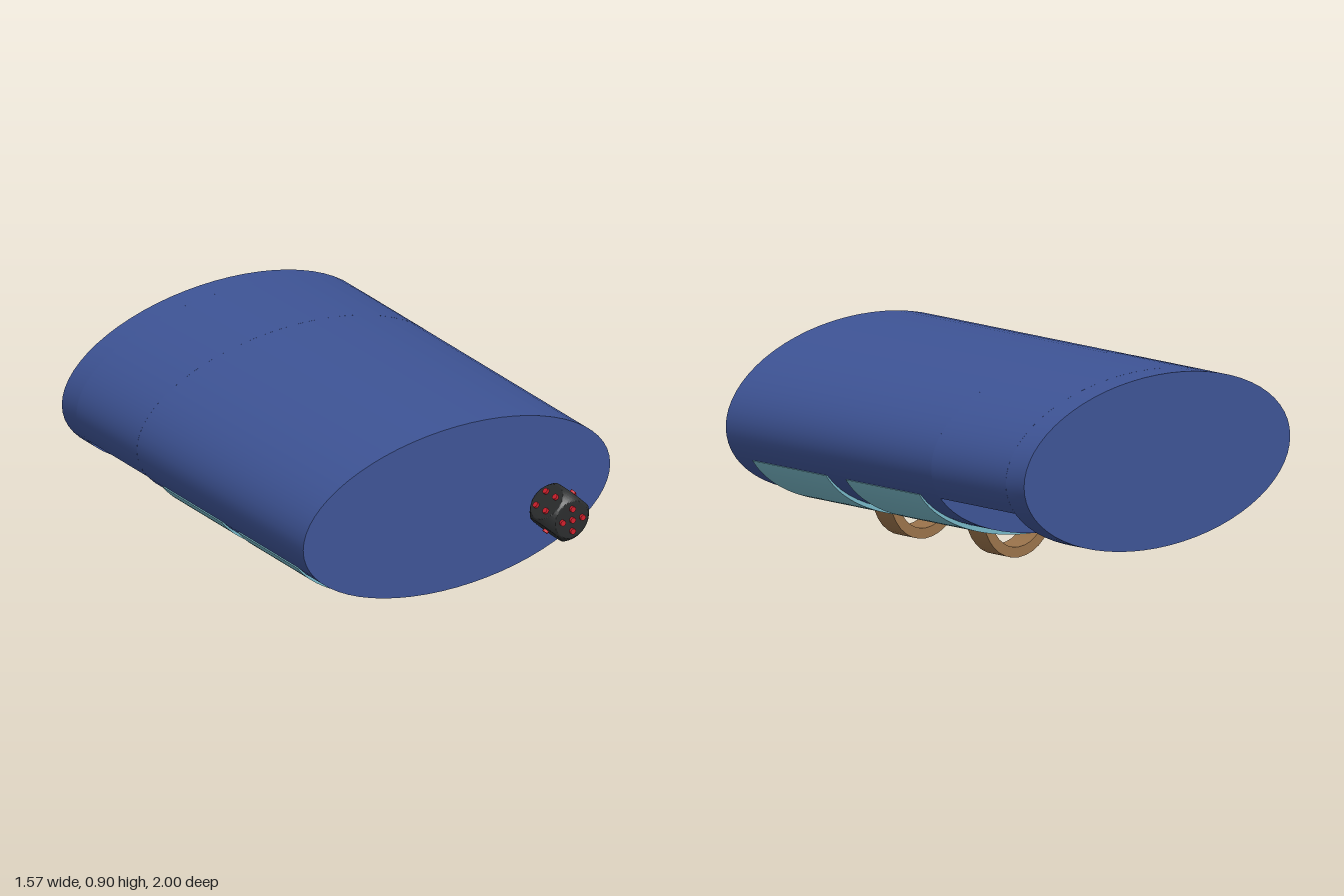
import * as THREE from 'three';
import { toCreasedNormals } from 'three/addons/utils/BufferGeometryUtils.js';

const CY = 0.527, RX = 0.785, RY = 0.373; // oval section of the cabinet
const RIM = 0.39;                         // height of the drawer line

const paint = (color) => new THREE.MeshStandardMaterial({ color });
const blue = paint(0x3e5496), teal = paint(0x78b8c8), wood = paint(0x9a734b);
const black = paint(0x2b2d2e), red = paint(0xd0202c), orange = paint(0xd8581c);

function addMesh(parent, name, geometry, material) {
  const mesh = new THREE.Mesh(geometry, material);
  mesh.name = name;
  parent.add(mesh);
  return mesh;
}

// Extrude a front-facing outline from z0 to z1 with smooth curved sides
function slab(shape, z0, z1, curveSegments = 32) {
  const geo = new THREE.ExtrudeGeometry(shape, { depth: z1 - z0, bevelEnabled: false, curveSegments });
  return toCreasedNormals(geo.translate(0, 0, z0), 0.5);
}

function oval() {
  return new THREE.Shape().absellipse(0, CY, RX, RY, 0, Math.PI * 2, false);
}

// Thin upper wall of the oval, open below the drawer line
function upperShell(thickness) {
  const a = Math.asin((RIM - CY) / RY);
  const shape = new THREE.Shape();
  shape.absellipse(0, CY, RX, RY, a, Math.PI - a, false);
  shape.absellipse(0, CY, RX - thickness, RY - thickness, Math.PI - a, a, true);
  shape.closePath();
  return shape;
}

// Lower segment of a slightly deeper oval
function drawerShape() {
  const ry = RY + 0.025, a = Math.asin((RIM - CY) / ry);
  const shape = new THREE.Shape();
  shape.absellipse(0, CY, RX, ry, Math.PI - a, Math.PI * 2 + a, false);
  shape.closePath();
  return shape;
}

// Half ring hanging under a drawer
function handleShape() {
  const shape = new THREE.Shape();
  shape.absarc(0.02, 0.21, 0.21, Math.PI, Math.PI * 2, false);
  shape.absarc(0.02, 0.21, 0.165, Math.PI * 2, Math.PI, true);
  shape.closePath();
  return shape;
}

// Cube with its corners and edges rounded off by a sphere
function dieGeometry(half, radius) {
  const geo = new THREE.BoxGeometry(2 * half, 2 * half, 2 * half, 28, 28, 28);
  const pos = geo.attributes.position, p = new THREE.Vector3();
  for (let i = 0; i < pos.count; i++) {
    p.fromBufferAttribute(pos, i).clampLength(0, radius);
    pos.setXYZ(i, p.x, p.y, p.z);
  }
  return toCreasedNormals(geo, 0.3);
}

// Pip positions for each count, on a unit face
function pipLayout(n) {
  const spots = n % 2 ? [[0, 0]] : [];
  if (n > 1) spots.push([-1, 1], [1, -1]);
  if (n > 3) spots.push([1, 1], [-1, -1]);
  if (n > 5) spots.push([-1, 0], [1, 0]);
  return spots;
}

function createDie() {
  const half = 0.093, die = new THREE.Group();
  die.name = 'dieKnob';
  addMesh(die, 'dieBody', dieGeometry(half, 0.125), black);
  const pip = new THREE.CylinderGeometry(0.013, 0.013, 0.014, 12).rotateX(Math.PI / 2);
  const q = Math.PI / 2;
  const faces = [[5, 0, 0], [3, 0, q], [1, 0, -q], [4, -q, 0], [2, q, 0]];
  for (const [count, rx, ry] of faces) {
    const face = new THREE.Group();
    face.name = 'diePips';
    face.rotation.set(rx, ry, 0);
    for (const [u, v] of pipLayout(count)) {
      addMesh(face, 'pip', pip, red).position.set(u * 0.036, v * 0.036, half + 0.005);
    }
    die.add(face);
  }
  die.rotation.z = Math.PI / 4;
  die.position.set(0.46, 0.42, 0.895);
  return die;
}

export function createModel() {
  const model = new THREE.Group();
  model.name = 'ovalDrawerCabinet';

  // Cabinet: closed front part, open bay, closed rear end
  addMesh(model, 'cabinetBody', slab(oval(), -0.44, 0.8), blue);
  addMesh(model, 'openBayShell', slab(upperShell(0.008), -0.89, -0.44), blue);
  addMesh(model, 'rearEnd', slab(oval(), -1, -0.89), blue);

  // Small ornament inside the open bay
  addMesh(model, 'bayOrnament', new THREE.TorusGeometry(0.06, 0.015, 8, 24), orange)
    .position.set(0.2, 0.58, -0.45);

  // Two curved drawers with hanging handles
  for (const z of [0.465, -0.0975]) {
    const drawer = new THREE.Group();
    drawer.name = 'drawer';
    addMesh(drawer, 'drawerFront', slab(drawerShape(), -0.2225, 0.2225), teal);
    addMesh(drawer, 'handle', slab(handleShape(), -0.055, 0.055, 8), wood)
      .position.z = -0.035;
    drawer.position.z = z;
    model.add(drawer);
  }

  model.add(createDie());
  return model;
}
